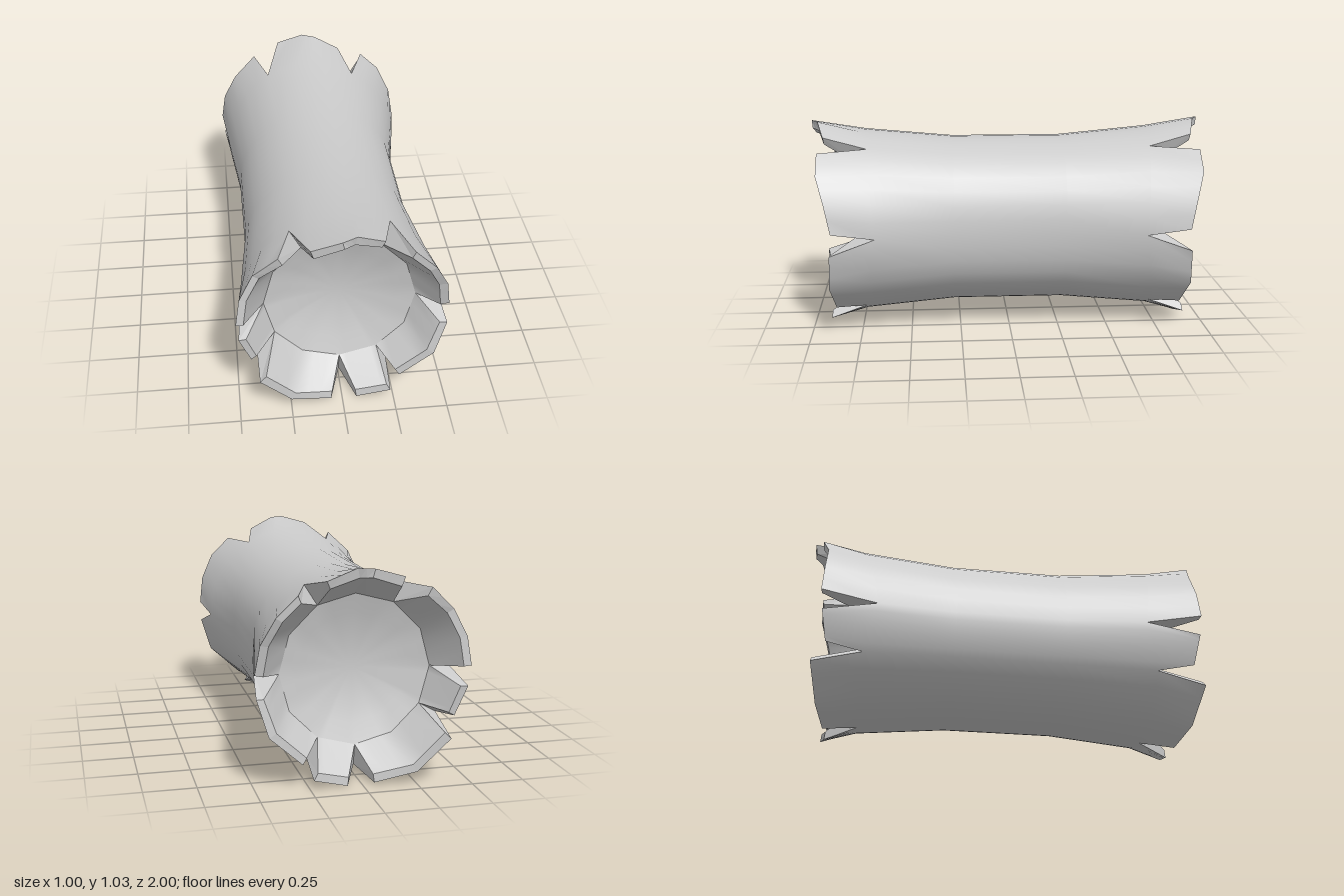
import * as THREE from 'three';
import { mergeVertices } from 'three/addons/utils/BufferGeometryUtils.js';

const CY = 0.515, SEG = 6;
const WAIST_R = 0.427, WAIST_Z = 0.28, BASE_R = 0.468;
const DISH_R = 0.363, DISH_Z = 0.75;
// Hollow of the end dish: [share of radius, depth]
const DISH = [[1, 0], [0.75, 0.028], [0.5, 0.05], [0.25, 0.062], [0, 0.066]];

// Flared flaps, counter-clockwise: start/end angle, notch depths, and tip corners
// [outer x, outer y, z, inner x, inner y]
const FLAPS = [
  { a: [0, 60], z: [0.67, 0.71], tip: [[0.5, 0.55, 0.88, 0.46, 0.54], [0.48, 0.69, 0.91, 0.44, 0.685], [0.415, 0.82, 0.95, 0.385, 0.8], [0.315, 0.915, 0.95, 0.3, 0.88]] },
  { a: [60, 120], z: [0.71, 0.74], tip: [[0.18, 0.97, 0.93, 0.165, 0.935], [0.05, 1.03, 0.965, 0.04, 0.985], [-0.02, 1.03, 1, -0.01, 0.99], [-0.16, 0.99, 0.995, -0.145, 0.945]] },
  { a: [120, 180], z: [0.74, 0.67], tip: [[-0.3, 0.93, 0.955, -0.28, 0.89], [-0.415, 0.82, 0.925, -0.385, 0.8], [-0.48, 0.69, 0.935, -0.445, 0.685], [-0.5, 0.555, 0.945, -0.465, 0.55]] },
  { a: [180, 210], z: [0.67, 0.73], tip: [[-0.49, 0.455, 0.935, -0.455, 0.455], [-0.435, 0.31, 0.91, -0.41, 0.325]] },
  { a: [210, 270], z: [0.73, 0.73], tip: [[-0.4, 0.22, 0.975, -0.37, 0.25], [-0.25, 0.06, 0.94, -0.23, 0.095], [-0.055, 0.01, 0.9, -0.05, 0.05]] },
  { a: [270, 300], z: [0.73, 0.73], tip: [[0.07, 0, 0.89, 0.065, 0.04], [0.235, 0.045, 0.91, 0.215, 0.08]] },
  { a: [300, 360], z: [0.73, 0.67], tip: [[0.28, 0.115, 0.88, 0.26, 0.145], [0.44, 0.26, 0.9, 0.405, 0.28], [0.495, 0.44, 0.89, 0.46, 0.44]] },
];

// Linear sample of a polyline of number lists at t in 0..1
function sample(list, t) {
  const f = t * (list.length - 1);
  const i = Math.min(Math.floor(f), list.length - 2);
  return list[i].map((v, k) => v + (list[i + 1][k] - v) * (f - i));
}

// Point on a ring; pinch flattens the ring on its +x side
function onRing(deg, r, pinch = 0) {
  const q = THREE.MathUtils.degToRad(deg);
  const R = r - pinch * Math.max(0, Math.cos(q)) ** 8;
  return [R * Math.cos(q), CY + R * Math.sin(q)];
}

// Twelve-sided ring corners across a flap
function corners([a0, a1], r) {
  const pts = [];
  for (let a = a0; a <= a1; a += 30) pts.push(onRing(a, r));
  return pts;
}

const quad = (out, a, b, c, d) => out.push(a, b, c, a, c, d);
const flipZ = ([x, y, z]) => [x, y, -z];

function flat(points) {
  const g = new THREE.BufferGeometry();
  g.setAttribute('position', new THREE.Float32BufferAttribute(points.flat(), 3));
  return g;
}
const smooth = (points) => mergeVertices(flat(points), 1e-4);

export function createModel() {
  const group = new THREE.Group();
  const material = new THREE.MeshStandardMaterial({ color: 0xcccccc, roughness: 0.9 });
  const skin = [], walls = [], rims = [], dish = [];

  for (const { a, z, tip } of FLAPS) {
    // One column of points per step across the flap
    const cols = [];
    for (let i = 0; i <= SEG; i++) {
      const t = i / SEG;
      const deg = a[0] + (a[1] - a[0]) * t;
      const [ox, oy, oz, ix, iy] = sample(tip, t);
      const waist = [...onRing(deg, WAIST_R, 0.028), WAIST_Z];
      const base = [...onRing(deg, BASE_R), z[0] + (z[1] - z[0]) * t];
      const outer = [ox, oy, oz];
      const [rx, ry] = sample(corners(a, DISH_R), t);
      cols.push({
        base, outer,
        inner: [ix, iy, oz - 0.005],
        root: [rx, ry, DISH_Z],
        rows: [flipZ(outer), flipZ(base), flipZ(waist), waist, base, outer],
        hollow: DISH.map(([k, depth]) => [rx * k, CY + (ry - CY) * k, DISH_Z - depth]),
      });
    }
    for (let i = 0; i < SEG; i++) {
      const c = cols[i], d = cols[i + 1];
      // Outer skin, end to end
      for (let j = 0; j < 5; j++) quad(skin, c.rows[j], d.rows[j], d.rows[j + 1], c.rows[j + 1]);
      // Rim and inside wall
      quad(rims, c.inner, c.outer, d.outer, d.inner);
      quad(walls, d.root, c.root, c.inner, d.inner);
      // Dish closing the end
      for (let j = 0; j < 3; j++) quad(dish, c.hollow[j + 1], c.hollow[j], d.hollow[j], d.hollow[j + 1]);
      dish.push(c.hollow[4], c.hollow[3], d.hollow[3]);
    }
    // Notch walls on both sides of the flap
    const s = cols[0], e = cols[SEG];
    quad(rims, s.root, s.base, s.outer, s.inner);
    quad(rims, e.inner, e.outer, e.base, e.root);
  }

  const add = (name, geometry) => {
    geometry.computeVertexNormals();
    const mesh = new THREE.Mesh(geometry, material);
    mesh.name = name;
    group.add(mesh);
  };

  add('body', smooth(skin));
  // Both ends; reversing the mirrored list keeps its faces outward
  for (const side of ['front', 'back']) {
    const place = (pts) => (side === 'front' ? pts : pts.map(flipZ).reverse());
    add(`${side}Rims`, flat(place(rims)));
    add(`${side}FlapWalls`, smooth(place(walls)));
    add(`${side}Dish`, smooth(place(dish)));
  }
  return group;
}
